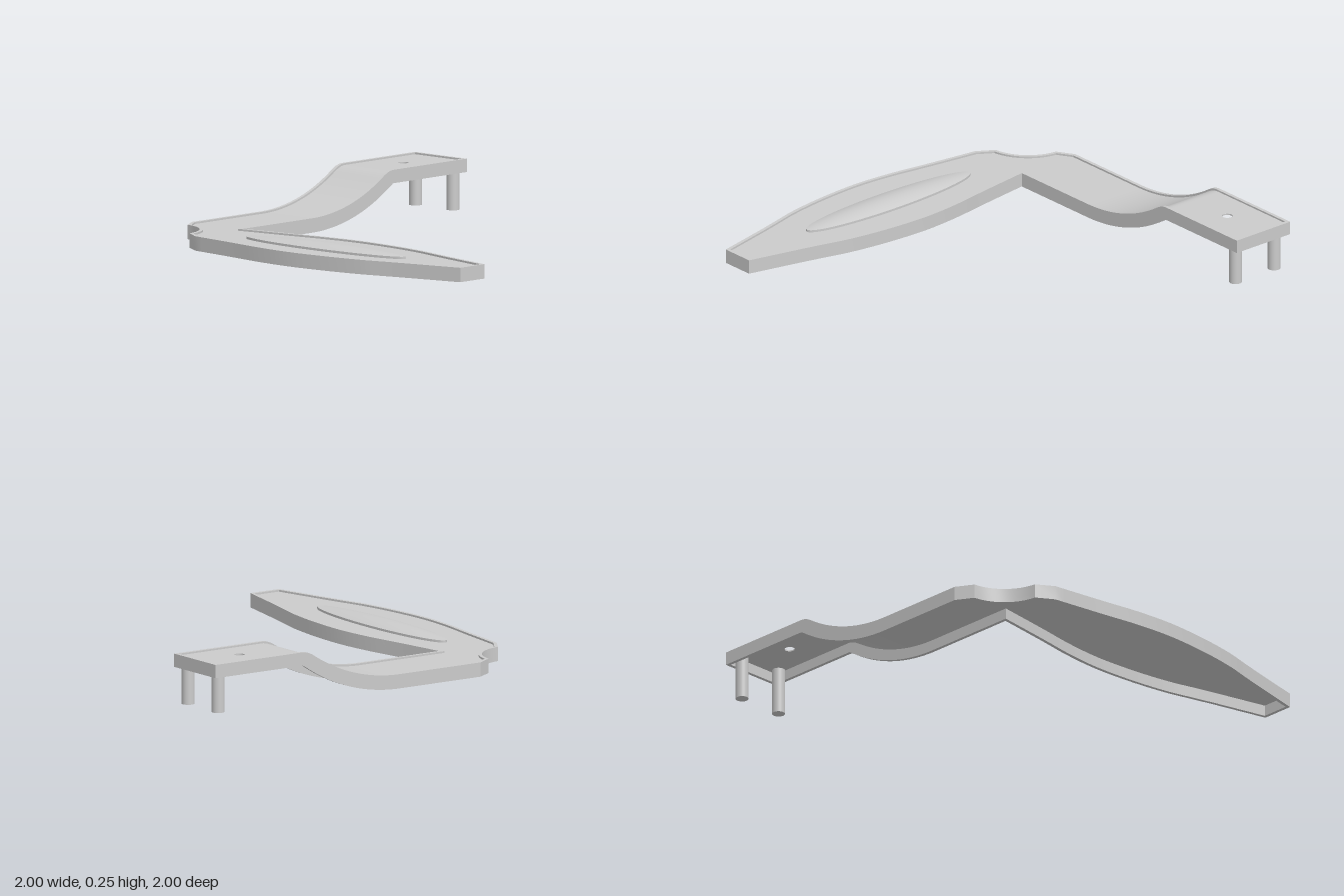
import * as THREE from 'three';
import { mergeGeometries, toCreasedNormals } from 'three/addons/utils/BufferGeometryUtils.js';

const RIM = 0.017, BEND = -0.09, FLAT = 0.52, BACK = -1, FRONT = -0.66, AXIS = -0.742;
const material = new THREE.MeshStandardMaterial({ color: 0xcccccc });

// Height of the plate's underside and top edge along x: flat, arc upward, flat
function arcHeight(x, radius, cap, blend) {
  const d = Math.max(0, x - BEND);
  const a = 0.99 - Math.sqrt(Math.max(0, radius * radius - d * d));
  const h = Math.max(blend - Math.abs(a - cap), 0) / blend;
  return Math.min(a, cap) - h * h * blend / 4;
}
const height = (x, t) => THREE.MathUtils.lerp(
  arcHeight(x, 0.99, 0.18, 0.004), arcHeight(x, 0.92, 0.245, 0.025), t);

// Outline of the L-shaped plate as (x, z) points
function makeOutline() {
  const pts = [];
  const add = (x, z) => pts.push(new THREE.Vector2(x, z));
  const bend = Array.from({ length: 33 }, (_, i) => -0.1 + (FLAT + 0.1) * i / 32);
  add(-0.57, BACK);
  bend.forEach(x => add(x, BACK));
  add(1, BACK);
  add(1, FRONT);
  bend.slice().reverse().forEach(x => add(x, FRONT));
  // leg: half width against z, mirrored about its axis
  const side = new THREE.SplineCurve([[0.171, -0.66], [0.211, -0.38], [0.242, -0.18], [0.257, 0.03],
    [0.244, 0.26], [0.215, 0.46], [0.18, 0.6], [0.15, 0.72]].map(p => new THREE.Vector2(...p))).getPoints(28);
  side.push(new THREE.Vector2(0.085, 1));
  side.forEach(p => add(AXIS + p.x, p.y));
  side.slice().reverse().forEach(p => add(AXIS - p.x, p.y));
  // concave notch at the outer corner
  for (let i = 0; i <= 12; i++) {
    const a = THREE.MathUtils.lerp(1.48, 0.09, i / 12);
    add(-0.88 + 0.226 * Math.cos(a), -0.97 + 0.226 * Math.sin(a));
  }
  return pts;
}

// Mitred inward offset
function inset(pts, dist) {
  const n = pts.length;
  const normal = (a, b) => new THREE.Vector2(b.y - a.y, a.x - b.x).normalize();
  return pts.map((p, i) => {
    const n1 = normal(pts[(i + n - 1) % n], p), n2 = normal(p, pts[(i + 1) % n]);
    const m = n1.clone().add(n2);
    return p.clone().addScaledVector(m, -dist / (1 + n1.dot(n2)));
  });
}

// Rectangular rim section swept round the outline
function rimGeometry(outer, inner) {
  const pos = [], n = outer.length;
  const section = i => [[outer, 0], [outer, 1], [inner, 1], [inner, 0]]
    .map(([ring, t]) => [ring[i].x, height(ring[i].x, t), ring[i].y]);
  for (let i = 0; i < n; i++) {
    const a = section(i), b = section((i + 1) % n);
    for (let k = 0; k < 4; k++) {
      const l = (k + 1) % 4;
      pos.push(...a[k], ...a[l], ...b[l], ...a[k], ...b[l], ...b[k]);
    }
  }
  const g = new THREE.BufferGeometry();
  g.setAttribute('position', new THREE.Float32BufferAttribute(pos, 3));
  return toCreasedNormals(g, 0.45);
}

// Sheet inside the rim at relative height t
function panelGeometry(inner, t, faceDown) {
  const leg = new THREE.Shape(inner.filter(p => p.x <= -0.0999).map(p => new THREE.Vector2(p.x, -p.y)));
  const z0 = BACK + RIM, z1 = FRONT - RIM, x1 = 1 - RIM;
  const end = new THREE.Shape([[FLAT, -z0], [FLAT, -z1], [x1, -z1], [x1, -z0]].map(p => new THREE.Vector2(...p)));
  end.holes.push(new THREE.Path().absarc(0.735, 0.83, 0.025, 0, Math.PI * 2, true));
  const slope = new THREE.PlaneGeometry(FLAT + 0.1, z1 - z0, 32, 1)
    .translate((FLAT - 0.1) / 2, -(z0 + z1) / 2, 0);
  const parts = [new THREE.ShapeGeometry(leg), slope, new THREE.ShapeGeometry(end, 24)];
  const g = mergeGeometries(parts).rotateX(-Math.PI / 2);
  const p = g.attributes.position;
  for (let i = 0; i < p.count; i++) p.setY(i, height(p.getX(i), t));
  if (faceDown) g.index.array.reverse();
  g.computeVertexNormals();
  return g;
}

export function createModel() {
  const group = new THREE.Group();
  const add = (name, geometry, mat = material) => {
    const mesh = new THREE.Mesh(geometry, mat);
    mesh.name = name;
    group.add(mesh);
    return mesh;
  };
  const outer = makeOutline(), inner = inset(outer, RIM);
  const topT = 0.87, underT = 0.77;

  add('rim', rimGeometry(outer, inner));
  add('topPanel', panelGeometry(inner, topT, false));
  add('undersidePanel', panelGeometry(inner, underT, true));

  // Wall of the small hole in the raised end
  const yTop = height(0.8, topT), yUnder = height(0.8, underT);
  const holeMat = material.clone();
  holeMat.side = THREE.DoubleSide;
  add('holeWall', new THREE.CylinderGeometry(0.025, 0.025, yTop - yUnder, 24, 1, true), holeMat)
    .position.set(0.735, (yTop + yUnder) / 2, -0.83);

  // Long oval dome on the leg
  const profile = [new THREE.Vector2(1, 0.055)];
  for (let i = 0; i <= 10; i++) {
    const r = 1 - i / 10;
    profile.push(new THREE.Vector2(r, 0.091 - 0.019 * r * r));
  }
  const dome = new THREE.LatheGeometry(profile, 56).scale(0.086, 1, 0.517).translate(AXIS, 0, 0.04);
  add('ovalDome', toCreasedNormals(dome, 0.6));

  // Two pins under the raised end
  for (const [name, z] of [['frontPin', -0.7], ['backPin', -0.945]]) {
    add(name, new THREE.CylinderGeometry(0.031, 0.031, yUnder, 28))
      .position.set(0.945, yUnder / 2, z);
  }
  return group;
}
